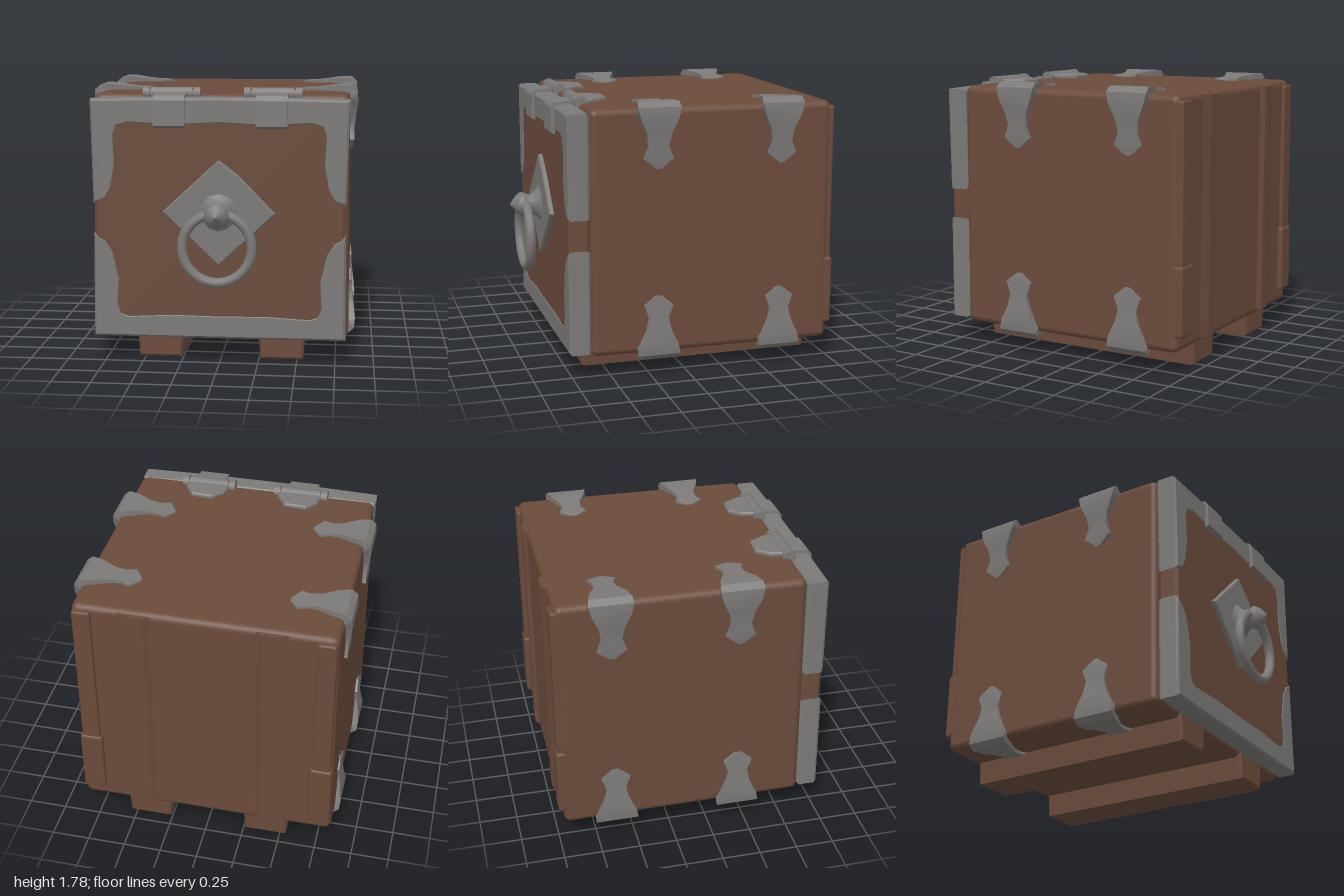
import * as THREE from 'three';
import { RoundedBoxGeometry } from 'three/addons/geometries/RoundedBoxGeometry.js';
import { toCreasedNormals } from 'three/addons/utils/BufferGeometryUtils.js';

const wood = new THREE.MeshStandardMaterial({ color: 0x6b4b3b, side: THREE.DoubleSide });
wood.name = 'brown wood';
const metal = new THREE.MeshStandardMaterial({ color: 0x7b7a78, side: THREE.DoubleSide });
metal.name = 'grey metal';

function add(parent, name, geometry, material, x = 0, y = 0, z = 0) {
  const mesh = new THREE.Mesh(geometry, material);
  mesh.name = name;
  mesh.position.set(x, y, z);
  parent.add(mesh);
  return mesh;
}

// Prism along +z from outline points, with a bevel kept inside the outline
function prism(points, depth, bevel = 0) {
  const shape = new THREE.Shape(points.map(([x, y]) => new THREE.Vector2(x, y)));
  const geometry = new THREE.ExtrudeGeometry(shape, {
    depth: depth - 2 * bevel, bevelEnabled: bevel > 0, bevelSize: bevel,
    bevelThickness: bevel, bevelOffset: -bevel, bevelSegments: 1,
  });
  geometry.translate(0, 0, bevel);
  return geometry;
}

// Strap folded over the top edge: each row is [x, y, half width in z]
function strapGeometry() {
  const rows = [
    [0.845, 1.355, 0.015], [0.855, 1.42, 0.095], [0.855, 1.5, 0.065], [0.865, 1.58, 0.08],
    [0.878, 1.68, 0.125], [0.872, 1.745, 0.14], [0.835, 1.778, 0.135], [0.76, 1.778, 0.115],
    [0.66, 1.765, 0.07], [0.59, 1.758, 0.065], [0.53, 1.755, 0.09], [0.475, 1.745, 0.015],
  ];
  const positions = [], index = [];
  rows.forEach(([x, y, w], i) => {
    const dx = i < 6 ? 0.05 : 0, dy = i > 4 ? 0.05 : 0;
    positions.push(x - dx, y - dy, w, x, y, w, x, y, -w, x - dx, y - dy, -w);
    if (i === 0) return;
    for (let k = 0; k < 3; k++) {
      const a = (i - 1) * 4 + k, b = a + 4;
      index.push(a, a + 1, b, a + 1, b + 1, b);
    }
  });
  const geometry = new THREE.BufferGeometry();
  geometry.setAttribute('position', new THREE.Float32BufferAttribute(positions, 3));
  // Wind faces so they look outward
  for (let i = 0; i < index.length; i += 3) [index[i + 1], index[i + 2]] = [index[i + 2], index[i + 1]];
  geometry.setIndex(index);
  return toCreasedNormals(geometry, 0.7);
}

function createBody() {
  const body = new THREE.Group();
  body.name = 'body';
  // Box that is a little wider in the middle of its depth and at its foot
  const box = new RoundedBoxGeometry(1.68, 1.59, 1.6, 3, 0.045);
  const p = box.attributes.position;
  for (let i = 0; i < p.count; i++) {
    const taper = p.getZ(i) > 0 ? 0.985 : 1;
    p.setX(i, p.getX(i) * taper * (1 - 0.008 * p.getY(i)));
  }
  add(body, 'bodyBox', box, wood, 0, 0.945, -0.165);

  for (const s of [-1, 1]) {
    // Runner below the box
    const runner = prism([[-0.14, 0], [0.14, 0], [0.155, 0.2], [-0.155, 0.2]], 1.57, 0.015);
    add(body, 'runner', runner, wood, s * 0.4, 0, -0.93);
    // Raised plank down the back
    const plank = prism([[0.33, -0.93], [0.33, -0.96], [0.37, -0.99], [0.45, -0.99], [0.55, -0.955], [0.55, -0.93]]
      .map(([x, z]) => [s * x, -z]), 1.54);
    plank.rotateX(-Math.PI / 2);
    add(body, 'backPlank', plank, wood, 0, 0.18, 0);
    // Corner board and thicker foot at the back
    add(body, 'cornerBoard', new RoundedBoxGeometry(0.12, 1.45, 0.06, 2, 0.015), wood, s * 0.765, 0.98, -0.96);
    add(body, 'cornerFoot', new RoundedBoxGeometry(0.15, 0.45, 0.12, 2, 0.02), wood, s * 0.765, 0.475, -0.94);
  }
  return body;
}

function createStraps() {
  const straps = new THREE.Group();
  straps.name = 'cornerStraps';
  const geometry = strapGeometry();
  for (const z of [0.2, -0.62])
    for (const sx of [-1, 1])
      for (const top of [true, false]) {
        const strap = add(straps, top ? 'topStrap' : 'bottomStrap', geometry, metal, 0, top ? 0 : 1.89, z);
        strap.scale.set(sx, top ? 1 : -1, 1);
      }
  return straps;
}

function createDoor() {
  const door = new THREE.Group();
  door.name = 'door';
  const panel = prism([[-0.805, 0.178], [0.805, 0.178], [0.805, 1.705], [-0.805, 1.705]], 0.135, 0.02);
  add(door, 'doorPanel', panel, wood, 0, 0, 0.635);

  // U-shaped metal borders, right half mirrored to the left
  const border = (half) => [...half, ...half.map(([x, y]) => [-x, y]).reverse()];
  const upper = border([[0, 1.56], [0.3, 1.545], [0.58, 1.56], [0.65, 1.54], [0.67, 1.48], [0.66, 1.3],
    [0.69, 1.14], [0.73, 1.07], [0.81, 1.045], [0.825, 1.715], [0.4, 1.725]]);
  const lower = border([[0, 0.325], [0.3, 0.33], [0.58, 0.315], [0.63, 0.33], [0.65, 0.38], [0.64, 0.55],
    [0.68, 0.73], [0.73, 0.81], [0.81, 0.85], [0.815, 0.17], [0.4, 0.168]]);
  add(door, 'upperBorder', prism(upper, 0.14, 0.015), metal, 0, 0, 0.635);
  add(door, 'lowerBorder', prism(lower, 0.14, 0.015), metal, 0, 0, 0.635);

  // Diamond plate, knob and ring
  const diamond = prism([[0, 0.655], [0.12, 0.77], [0.17, 0.81], [0.36, 0.995], [0.13, 1.235], [0, 1.335], [-0.36, 1]], 0.04, 0.008);
  add(door, 'diamondPlate', diamond, metal, 0, 0, 0.76);
  const profile = [[0.14, 0.79], [0.1, 0.81], [0.075, 0.84], [0.06, 0.87], [0.075, 0.9], [0.082, 0.925], [0.06, 0.955], [0, 1]];
  const knob = new THREE.LatheGeometry(profile.map(([r, z]) => new THREE.Vector2(r, z)), 12);
  knob.rotateX(Math.PI / 2);
  add(door, 'knob', knob, metal, 0, 1, 0);
  add(door, 'pullRing', new THREE.TorusGeometry(0.222, 0.032, 10, 28), metal, 0, 0.79, 0.9);
  return door;
}

function createHinge(x) {
  const hinge = new THREE.Group();
  hinge.name = 'hinge';
  hinge.position.x = x;
  // Barrel with a cap at each end
  const barrel = (name, length, radius, cx) => {
    const geometry = new THREE.CylinderGeometry(radius, radius, length, 10);
    geometry.rotateZ(Math.PI / 2);
    add(hinge, name, geometry, metal, cx, 1.742, 0.615);
  };
  barrel('barrel', 0.27, 0.042, 0);
  barrel('pin', 0.35, 0.025, 0);
  for (const s of [-1, 1]) barrel('pinCap', 0.042, 0.044, s * 0.164);
  // Leaf on the lid
  const leaf = prism([[-0.15, -0.6], [0.15, -0.6], [0.15, -0.54], [0.085, -0.43], [-0.06, -0.42], [-0.13, -0.5]], 0.045, 0.01);
  leaf.rotateX(-Math.PI / 2);
  add(hinge, 'topLeaf', leaf, metal, 0, 1.72, 0);
  // Leaf folded over the top of the door
  const fold = prism([[0.63, 1.65], [0.63, 1.75], [0.77, 1.74], [0.795, 1.71], [0.8, 1.55], [0.77, 1.535], [0.76, 1.65]]
    .map(([z, y]) => [-z, y]), 0.2);
  fold.rotateY(Math.PI / 2);
  add(hinge, 'frontLeaf', fold, metal, -0.1, 0, 0);
  return hinge;
}

export function createModel() {
  const model = new THREE.Group();
  model.name = 'crate';
  model.add(createBody(), createStraps(), createDoor(), createHinge(-0.315), createHinge(0.335));
  return model;
}
